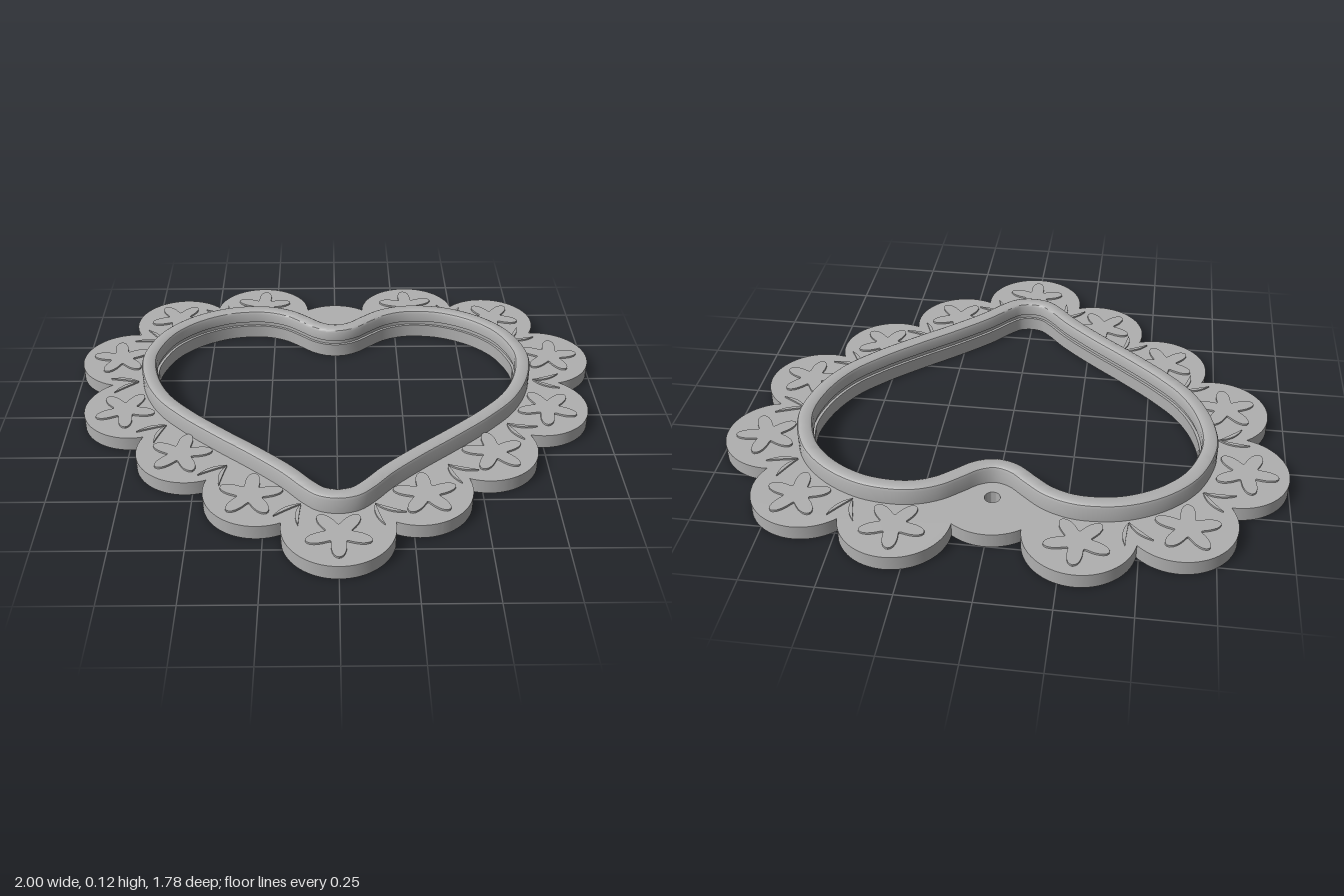
import * as THREE from 'three';
import { toCreasedNormals } from 'three/addons/utils/BufferGeometryUtils.js';

const R = 0.19;          // scallop radius
const PLATE_TOP = 0.053;
const mirror = (pts) => [...pts, ...pts.slice(1, -1).reverse().map(([x, z]) => [-x, z])];

// Scallop centres and heart outline as (x, z), clockwise seen from above
const scallops = mirror([[0, -0.56], [0.305, -0.705], [0.63, -0.605], [0.81, -0.325],
  [0.75, 0.015], [0.525, 0.275], [0.27, 0.505], [0, 0.698]]);
const heart = mirror([[0, -0.487], [0.05, -0.503], [0.1, -0.545], [0.17, -0.6], [0.25, -0.633],
  [0.33, -0.642], [0.45, -0.625], [0.58, -0.56], [0.68, -0.46], [0.735, -0.34], [0.752, -0.235],
  [0.725, -0.085], [0.66, 0.05], [0.56, 0.165], [0.43, 0.283], [0.3, 0.393], [0.19, 0.495],
  [0.12, 0.575], [0.07, 0.617], [0, 0.633]]);
const heartCurve = new THREE.CatmullRomCurve3(
  heart.map(([x, z]) => new THREE.Vector3(x, 0, z)), true, 'centripetal');

// Heart outline moved inward by d
function heartRing(d, n = 200) {
  return Array.from({ length: n }, (_, i) => {
    const p = heartCurve.getPointAt(i / n), t = heartCurve.getTangentAt(i / n);
    return new THREE.Vector2(p.x - t.z * d, p.z + t.x * d);
  });
}

// Outer meeting point of two neighbouring scallops
function junction(a, b) {
  const dx = b[0] - a[0], dz = b[1] - a[1], d = Math.hypot(dx, dz);
  const h = Math.sqrt(R * R - d * d / 4);
  return [(a[0] + b[0]) / 2 + dz / d * h, (a[1] + b[1]) / 2 - dx / d * h];
}

// Lay an (x, z) shape flat with its upper face at height top
function slab(shape, depth, top, curveSegments = 24) {
  const g = new THREE.ExtrudeGeometry(shape, { depth, bevelEnabled: false, curveSegments });
  g.rotateX(Math.PI / 2);
  g.translate(0, top, 0);
  return toCreasedNormals(g, 0.6);
}

function plateGeometry() {
  const shape = new THREE.Shape(), n = scallops.length;
  scallops.forEach((c, i) => {
    const p = junction(scallops[(i + n - 1) % n], c), q = junction(c, scallops[(i + 1) % n]);
    const a0 = Math.atan2(p[1] - c[1], p[0] - c[0]);
    let a1 = Math.atan2(q[1] - c[1], q[0] - c[0]);
    if (a1 < a0) a1 += Math.PI * 2;
    shape.absarc(c[0], c[1], R, a0, a1, false);
  });
  shape.holes.push(new THREE.Path(heartRing(0.06)));
  shape.holes.push(new THREE.Path().absarc(0, -0.565, 0.027, 0, Math.PI * 2, true));
  return slab(shape, PLATE_TOP, PLATE_TOP);
}

// Rim: a rounded cross-section swept round the heart, with a groove inside
function rimGeometry() {
  const profile = [[0, 0.045], [0, 0.106], [0.004, 0.115], [0.013, 0.12], [0.042, 0.12],
    [0.052, 0.115], [0.057, 0.106], [0.057, 0.07], [0.05, 0.066], [0.05, 0.045]];
  const n = 200, m = profile.length, pos = [], idx = [];
  for (const [d, y] of profile) for (const p of heartRing(d, n)) pos.push(p.x, y, p.y);
  for (let j = 0; j < m - 1; j++) for (let i = 0; i < n; i++) {
    const k = (i + 1) % n;
    const a = j * n + i, b = (j + 1) * n + i, c = j * n + k, d = (j + 1) * n + k;
    idx.push(a, b, c, c, b, d);
  }
  const g = new THREE.BufferGeometry();
  g.setAttribute('position', new THREE.Float32BufferAttribute(pos, 3));
  g.setIndex(idx);
  return toCreasedNormals(g, 0.6);
}

// Five-petalled flower with one petal along +x
function flowerGeometry() {
  const pts = Array.from({ length: 80 }, (_, i) => {
    const a = i / 80 * Math.PI * 2, r = 0.079 + 0.034 * Math.cos(5 * a);
    return new THREE.Vector2(Math.cos(a) * r, Math.sin(a) * r);
  });
  return slab(new THREE.Shape(pts), 0.012, PLATE_TOP + 0.007);
}

// Slim curved leaf along +x
function leafGeometry() {
  const s = new THREE.Shape();
  s.moveTo(0, 0);
  s.quadraticCurveTo(0.05, 0.035, 0.11, 0.012);
  s.quadraticCurveTo(0.05, 0.008, 0, 0);
  return slab(s, 0.012, PLATE_TOP + 0.006, 8);
}

export function createModel() {
  const grey = new THREE.MeshStandardMaterial({ color: 0xb0b0b0 });
  grey.name = 'grey';
  const model = new THREE.Group();
  model.name = 'heartFrame';
  const add = (geometry, name, x = 0, z = 0, angle = 0) => {
    const mesh = new THREE.Mesh(geometry, grey);
    mesh.name = name;
    mesh.position.set(x, 0, z);
    mesh.rotation.y = -angle;
    model.add(mesh);
    return mesh;
  };

  add(plateGeometry(), 'scallopedPlate');
  add(rimGeometry(), 'heartRim');

  // Flowers on every scallop but the one with the hanging hole
  const flower = flowerGeometry(), leaf = leafGeometry(), n = scallops.length;
  scallops.forEach((c, i) => {
    if (i === 0) return;
    const p = junction(scallops[i - 1], c), q = junction(c, scallops[(i + 1) % n]);
    const out = Math.atan2(p[0] - q[0], q[1] - p[1]);
    add(flower, 'flower', c[0] + Math.cos(out) * 0.04, c[1] + Math.sin(out) * 0.04, out);
  });

  // A pair of leaves where neighbouring scallops meet
  for (let i = 1; i < n - 1; i++) {
    const a = scallops[i], b = scallops[i + 1], p = junction(a, b);
    const mx = (a[0] + b[0]) / 2, mz = (a[1] + b[1]) / 2;
    const out = Math.atan2(p[1] - mz, p[0] - mx);
    const x = mx - Math.cos(out) * 0.02, z = mz - Math.sin(out) * 0.02;
    add(leaf, 'leaf', x, z, out + 0.25);
    add(leaf, 'leaf', x, z, out - 0.65);
  }
  return model;
}
